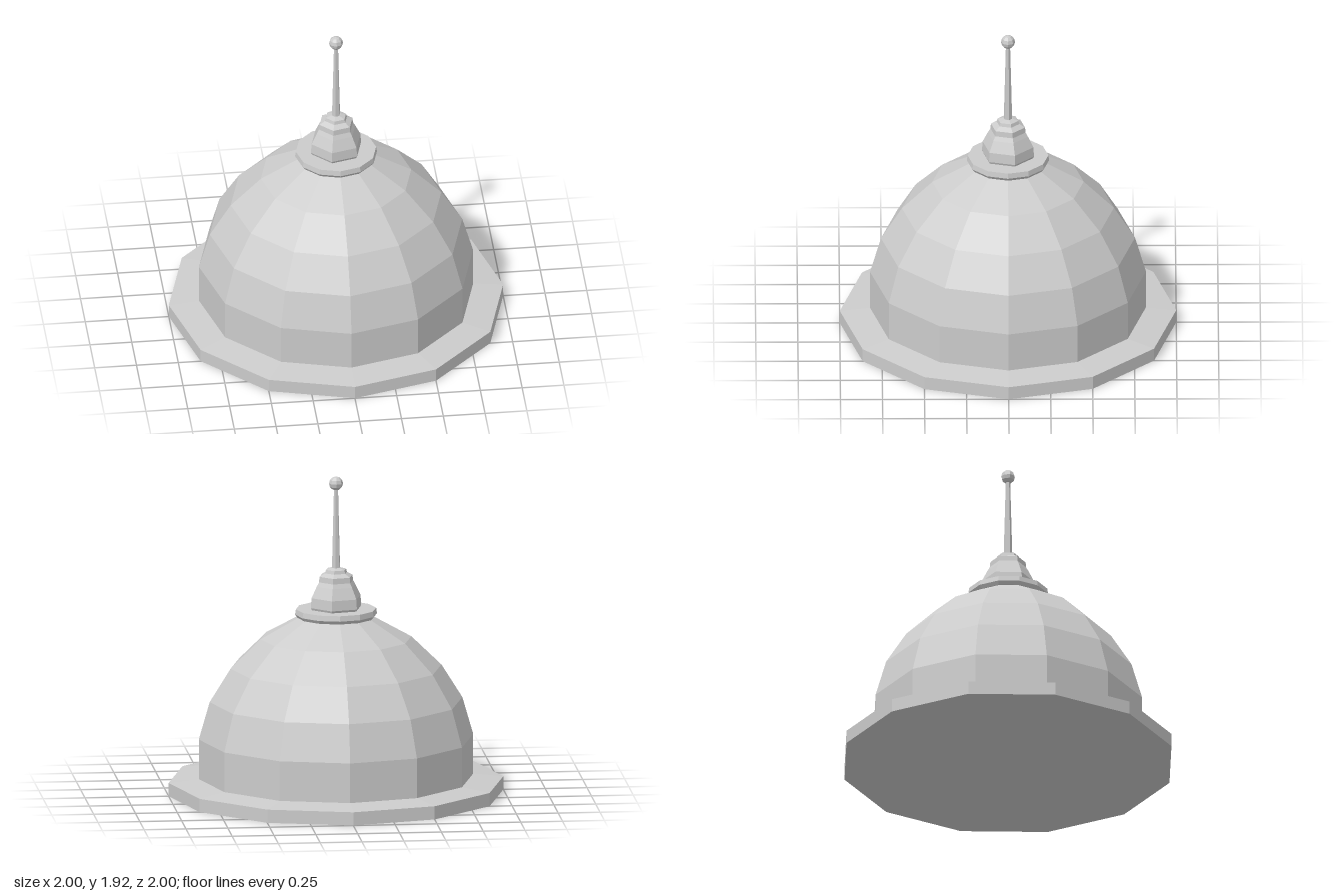
import * as THREE from 'three';

const material = new THREE.MeshStandardMaterial({ color: 0xcccccc, flatShading: true });

// Faceted solid of revolution from [radius, height] pairs, bottom to top
function turned(name, profile, sides, turn = 0) {
  const points = profile.map(([r, y]) => new THREE.Vector2(r, y));
  const mesh = new THREE.Mesh(new THREE.LatheGeometry(points, sides, turn), material);
  mesh.name = name;
  return mesh;
}

export function createModel() {
  const group = new THREE.Group();
  group.name = 'domeRoof';
  const hexTurn = Math.PI / 4;

  // Twelve-sided plinth with a gently sloping top
  group.add(turned('base', [[0, 0], [1, 0], [1, 0.08], [0.82, 0.1], [0, 0.1]], 12));

  // Dome shell: upright drum, then curving in
  group.add(turned('dome', [
    [0.82, 0.09], [0.82, 0.34], [0.755, 0.565], [0.63, 0.765], [0.45, 0.94], [0.225, 1.065], [0, 1.065],
  ], 12));

  // Flat ring closing the dome
  group.add(turned('collar', [[0, 1.065], [0.23, 1.065], [0.245, 1.085], [0.24, 1.117], [0, 1.117]], 12));

  // Hexagonal lantern with stepped cap
  group.add(turned('lantern', [
    [0.15, 1.11], [0.16, 1.13], [0.156, 1.19], [0.123, 1.257], [0.108, 1.283],
  ], 6, hexTurn));
  group.add(turned('lanternCap', [
    [0.09, 1.283], [0.108, 1.283], [0.105, 1.316], [0.07, 1.335], [0.064, 1.355], [0.03, 1.365], [0, 1.365],
  ], 6, hexTurn));

  // Tapering spire and its ball
  group.add(turned('spire', [[0.026, 1.355], [0.013, 1.85]], 6, hexTurn));
  const ball = new THREE.Mesh(new THREE.SphereGeometry(0.042, 8, 6), material);
  ball.name = 'finialBall';
  ball.position.y = 1.875;
  group.add(ball);

  return group;
}
